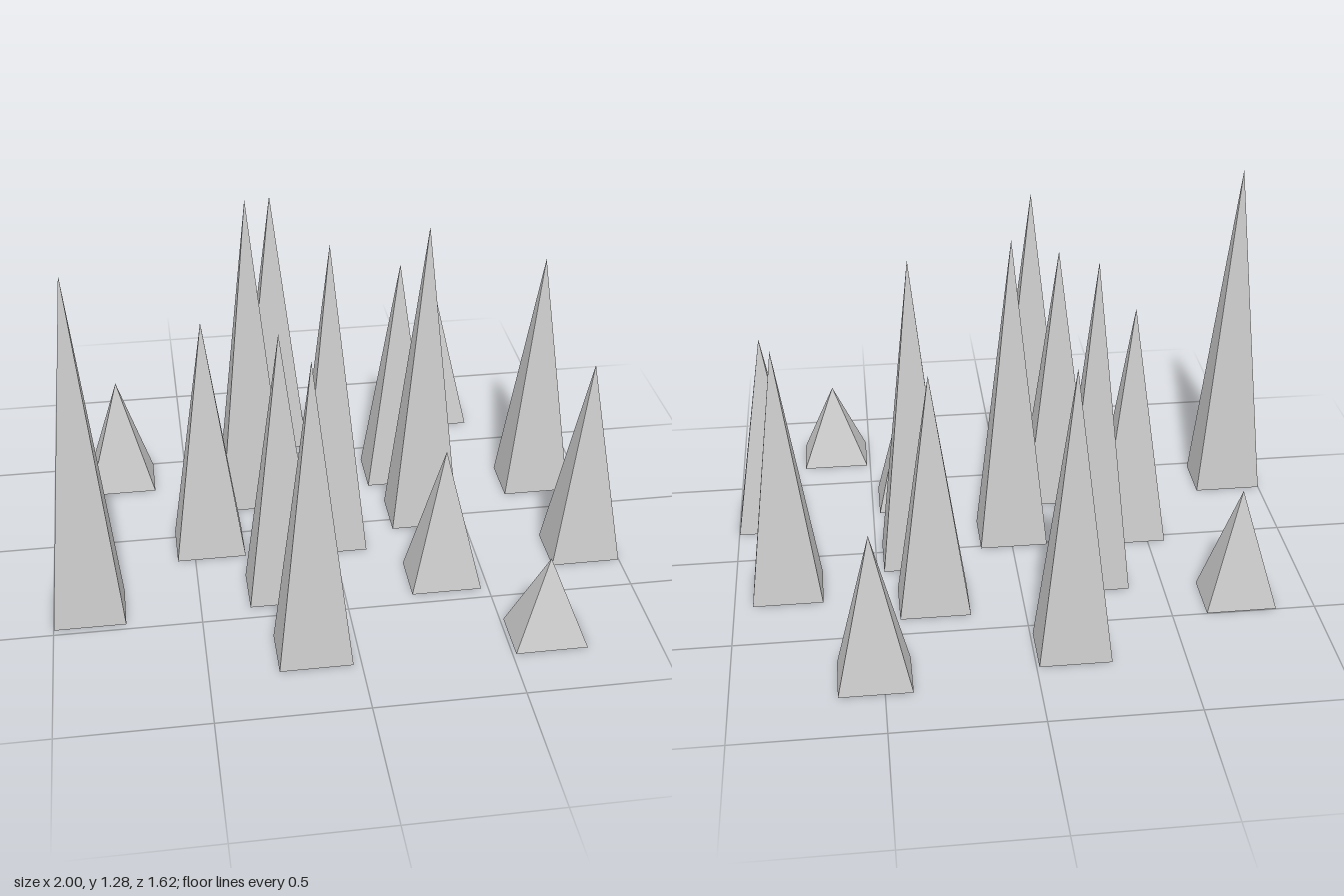
import * as THREE from 'three';

const BASE_WIDTH = 0.243;
const BASE_DEPTH = 0.184;

// x, z and height of each spire
const SPIRES = [
  [-0.743, -0.406, 0.43],
  [-0.131, -0.636, 1.05],
  [0.53, -0.72, 0.55],
  [-0.257, -0.232, 1.22],
  [0.31, -0.325, 0.89],
  [0.815, -0.195, 0.94],
  [0.353, -0.033, 1.17],
  [-0.441, 0.055, 0.91],
  [-0.006, 0.078, 1.18],
  [0.877, 0.265, 0.76],
  [-0.878, 0.383, 1.28],
  [-0.21, 0.352, 1.01],
  [0.353, 0.36, 0.52],
  [-0.149, 0.697, 1.1],
  [0.634, 0.718, 0.31],
];

export function createModel() {
  const group = new THREE.Group();
  group.name = 'spireForest';

  const material = new THREE.MeshStandardMaterial({
    color: 0xcccccc,
    flatShading: true,
    side: THREE.DoubleSide,
  });

  // Unit four-sided pyramid, open underneath, standing on y = 0
  const pyramid = new THREE.ConeGeometry(Math.SQRT1_2, 1, 4, 1, true);
  pyramid.rotateY(Math.PI / 4).translate(0, 0.5, 0);

  SPIRES.forEach(([x, z, height], i) => {
    const spire = new THREE.Mesh(pyramid, material);
    spire.name = `spire${i + 1}`;
    spire.position.set(x, 0, z);
    spire.scale.set(BASE_WIDTH, height, BASE_DEPTH);
    group.add(spire);
  });

  return group;
}
